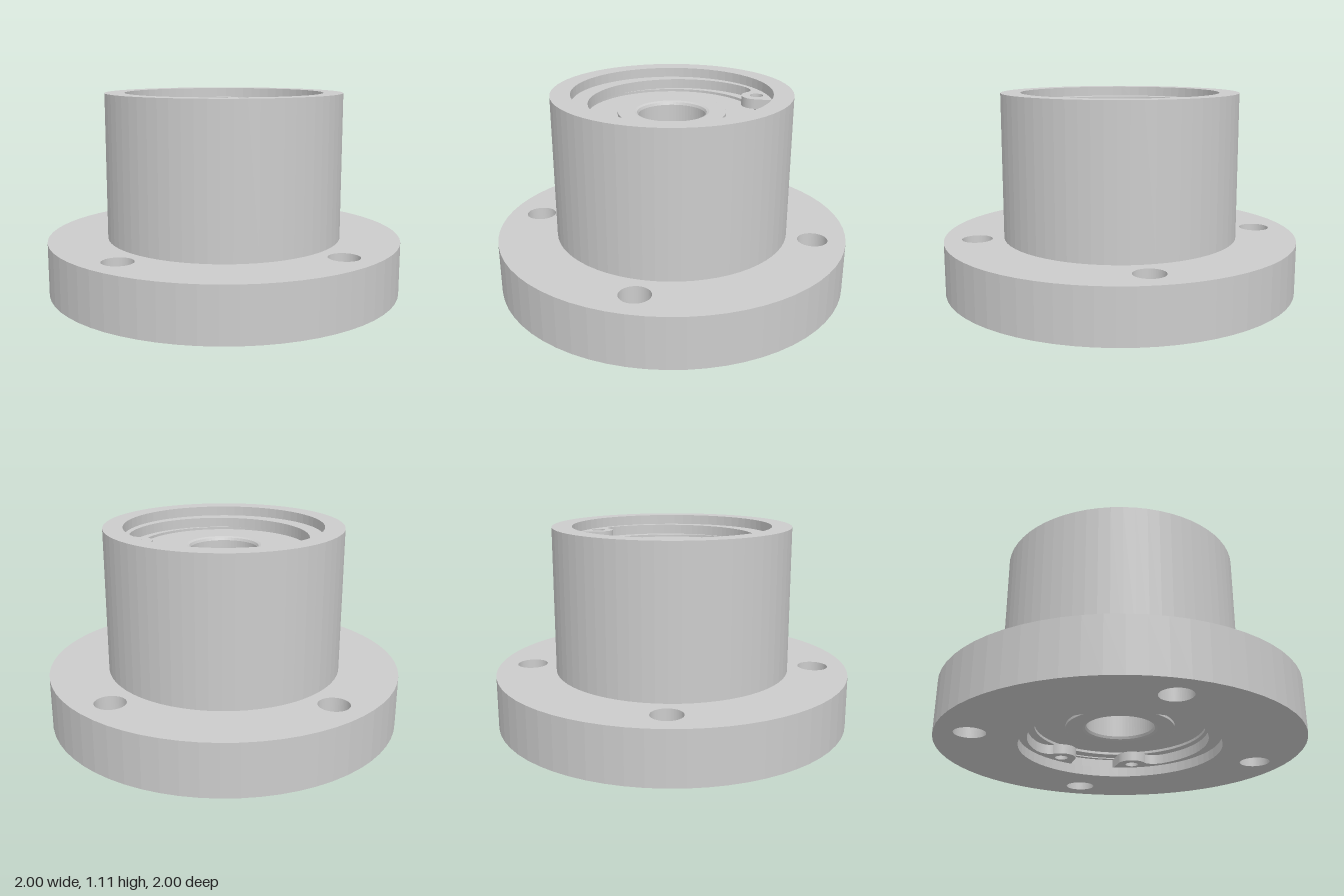
import * as THREE from 'three';

const SEG = 64;
const HEIGHT = 1.11, FLANGE_H = 0.295;
const HUB_R = 0.665, BORE_R = 0.555, GROOVE_R = 0.58, SHOULDER_R = 0.47;
const SEAT = 0.11, RING_T = 0.055, BEARING_W = 0.333;

const material = new THREE.MeshStandardMaterial({ color: 0xcccccc, flatShading: true });

function part(name, geometry, y = 0) {
  const mesh = new THREE.Mesh(geometry, material);
  mesh.name = name;
  mesh.position.y = y;
  return mesh;
}

// Profile points are [radius, y], going up on the outside and down on the inside
function lathe(points) {
  return new THREE.LatheGeometry(points.map(([r, y]) => new THREE.Vector2(r, y)), SEG);
}

// Extrudes a plan shape upwards, shape y pointing to the back
function plate(shape, depth) {
  return new THREE.ExtrudeGeometry(shape, { depth, bevelEnabled: false, curveSegments: SEG / 2 })
    .rotateX(-Math.PI / 2);
}

function circleHole(x, y, r) {
  return new THREE.Path().absarc(x, y, r, 0, Math.PI * 2, true);
}

// Closed ring section with chamfered edges on the chosen sides
function raceProfile(inner, outer, h, ci, co) {
  return [
    [inner + ci, -h], [outer - co, -h], [outer - co * 0.3, -h + co * 0.3], [outer, -h + co],
    [outer, h - co], [outer - co * 0.3, h - co * 0.3], [outer - co, h],
    [inner + ci, h], [inner + ci * 0.3, h - ci * 0.3], [inner, h - ci],
    [inner, -h + ci], [inner + ci * 0.3, -h + ci * 0.3], [inner + ci, -h],
  ];
}

function createBearing(name, y) {
  const bearing = new THREE.Group();
  bearing.name = name;
  bearing.position.y = y;
  const h = BEARING_W / 2;
  bearing.add(
    part('outerRace', lathe(raceProfile(SHOULDER_R, BORE_R, h, 0.001, 0.02))),
    part('shield', lathe(raceProfile(0.295, 0.475, h - 0.015, 0.001, 0.001))),
    part('innerRace', lathe(raceProfile(0.187, 0.3, h, 0.02, 0.001))),
  );
  return bearing;
}

// Open retaining ring: eccentric inner edge and two eyelets at the back
function snapRingShape() {
  const lugX = 0.22, lugY = 0.44, lugR = 0.085, gap = lugX - lugR;
  const innerR = 0.5, innerY = 0.04, join = 0.676;
  const gapAngle = Math.acos(gap / GROOVE_R);
  const lugEnd = (320 * Math.PI) / 180;
  const lugEndX = lugX + lugR * Math.cos(lugEnd), lugEndY = lugY + lugR * Math.sin(lugEnd);
  const shape = new THREE.Shape();
  shape.moveTo(gap, GROOVE_R * Math.sin(gapAngle));
  shape.absarc(lugX, lugY, lugR, Math.PI, lugEnd, false);
  shape.quadraticCurveTo(0.335, 0.41, innerR * Math.cos(join), innerY + innerR * Math.sin(join));
  shape.absarc(0, innerY, innerR, join, Math.PI - join, true);
  shape.quadraticCurveTo(-0.335, 0.41, -lugEndX, lugEndY);
  shape.absarc(-lugX, lugY, lugR, 3 * Math.PI - lugEnd, Math.PI * 2, false);
  shape.absarc(0, 0, GROOVE_R, Math.PI - gapAngle, Math.PI * 2 + gapAngle, false);
  for (const side of [-1, 1]) shape.holes.push(circleHole(side * lugX, lugY, 0.038));
  return shape;
}

export function createModel() {
  const model = new THREE.Group();
  model.name = 'flangedBearingHousing';

  // Hub with stepped bore and a groove near each end
  const seatTop = HEIGHT - SEAT, lip = SEAT - RING_T;
  const shoulderLow = SEAT + BEARING_W, shoulderHigh = seatTop - BEARING_W;
  model.add(part('hub', lathe([
    [HUB_R, FLANGE_H], [HUB_R, HEIGHT], [BORE_R, HEIGHT],
    [BORE_R, HEIGHT - lip], [GROOVE_R, HEIGHT - lip], [GROOVE_R, seatTop], [BORE_R, seatTop],
    [BORE_R, shoulderHigh], [SHOULDER_R, shoulderHigh],
    [SHOULDER_R, shoulderLow], [BORE_R, shoulderLow],
    [BORE_R, SEAT], [GROOVE_R, SEAT], [GROOVE_R, lip], [BORE_R, lip],
    [BORE_R, 0], [HUB_R, 0],
  ])));

  // Flange with four bolt holes
  const flange = new THREE.Shape().absarc(0, 0, 1, 0, Math.PI * 2, false);
  flange.holes.push(circleHole(0, 0, HUB_R));
  for (let i = 0; i < 4; i++) {
    const a = (i * Math.PI) / 2;
    flange.holes.push(circleHole(0.815 * Math.cos(a), 0.815 * Math.sin(a), 0.085));
  }
  model.add(part('flange', plate(flange, FLANGE_H)));

  // Bearings and the sleeve between their inner races
  model.add(createBearing('lowerBearing', SEAT + BEARING_W / 2));
  model.add(createBearing('upperBearing', seatTop - BEARING_W / 2));
  model.add(part('spacerSleeve',
    lathe(raceProfile(0.187, 0.26, (shoulderHigh - shoulderLow) / 2, 0.001, 0.001)), HEIGHT / 2));

  // Retaining rings
  const ring = plate(snapRingShape(), RING_T);
  model.add(part('lowerSnapRing', ring, lip));
  model.add(part('upperSnapRing', ring, seatTop));

  return model;
}
